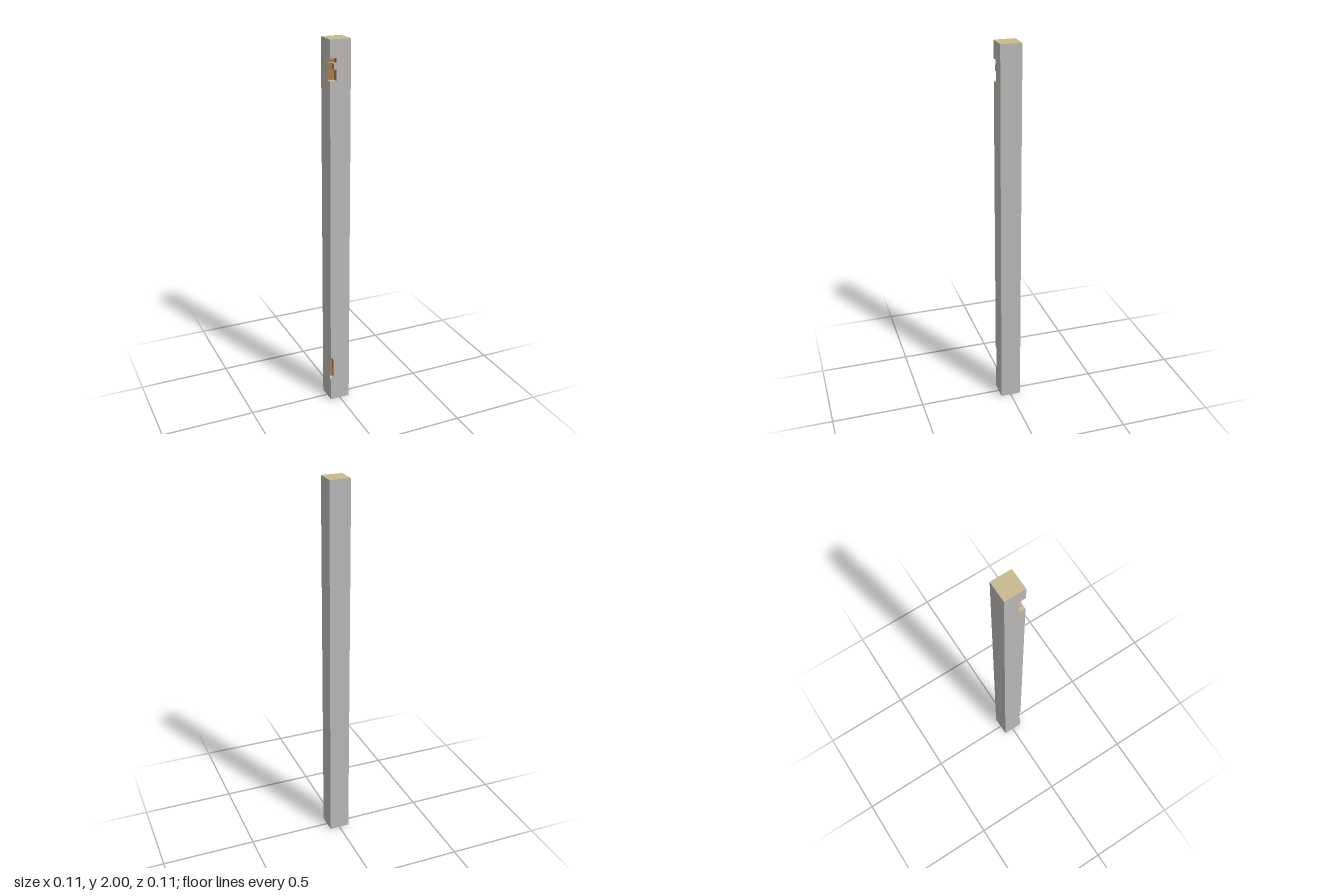
import * as THREE from 'three';

const H = 0.055, TOP = 2; // half width and height of the post

// Corner cuts, bottom to top: [height, depth cut into the front-right edge]
const CUTS = [
  [0, 0],
  [0.125, 0], [0.145, 0.015], [0.255, 0.015], [0.27, 0],
  [1.8, 0], [1.8, 0.035], [1.855, 0.035], [1.855, 0.02],
  [1.885, 0.02], [1.885, 0.035], [1.91, 0.035], [1.91, 0],
  [TOP, 0],
];

const mat = (name, color) => {
  const m = new THREE.MeshStandardMaterial({ color });
  m.name = name;
  return m;
};

export function createModel() {
  const grey = mat('weathered grey', 0xb9b8b6);
  const tan = mat('end grain tan', 0xc8ba8c);
  const brown = mat('cut wood brown', 0xa67c4a);
  const dark = mat('dark underside', 0x213e40);

  const post = new THREE.Group();
  post.name = 'post';
  const add = (name, geometry, material) => {
    const mesh = new THREE.Mesh(geometry, material);
    mesh.name = name;
    post.add(mesh);
    return mesh;
  };

  // Faces that meet at the cut edge; side is where that edge lies
  const cutFace = (side) => new THREE.ShapeGeometry(new THREE.Shape([
    new THREE.Vector2(-side * H, TOP),
    new THREE.Vector2(-side * H, 0),
    ...CUTS.map(([y, d]) => new THREE.Vector2(side * (H - d), y)),
  ]));
  add('frontFace', cutFace(-1).translate(0, 0, H), grey);
  add('rightFace', cutFace(1).rotateY(-Math.PI / 2).translate(-H, 0, 0), grey);

  // Plain faces
  const panel = () => new THREE.PlaneGeometry(2 * H, TOP);
  add('leftFace', panel().rotateY(Math.PI / 2).translate(H, TOP / 2, 0), grey);
  add('backFace', panel().rotateY(Math.PI).translate(0, TOP / 2, -H), grey);

  // Ends
  const end = () => new THREE.PlaneGeometry(2 * H, 2 * H);
  add('topEnd', end().rotateX(-Math.PI / 2).translate(0, TOP, 0), tan);
  add('bottomEnd', end().rotateX(Math.PI / 2), dark);

  // Walls, ledges and slopes inside the cuts: an L swept along the cut depths
  for (let i = 1; i < CUTS.length; i++) {
    const [y1, d1] = CUTS[i - 1], [y2, d2] = CUTS[i];
    if (d1 === 0 && d2 === 0) continue;
    const row = (y, d) => [[-H, y, H - d], [-H + d, y, H - d], [-H + d, y, H]];
    const lo = row(y1, d1), hi = row(y2, d2);
    const points = [];
    for (let k = 0; k < 2; k++) {
      if (d1 > 0) points.push(lo[k], lo[k + 1], hi[k + 1]);
      if (d2 > 0) points.push(lo[k], hi[k + 1], hi[k]);
    }
    const geometry = new THREE.BufferGeometry();
    geometry.setAttribute('position', new THREE.Float32BufferAttribute(points.flat(), 3));
    geometry.computeVertexNormals();

    if (d1 === d2) add('notchWall', geometry, brown);
    else if (y1 !== y2) add('notchSlope', geometry, grey);
    else if (d2 > d1) add('notchFloor', geometry, tan);
    else add('notchCeiling', geometry, brown);
  }
  return post;
}
